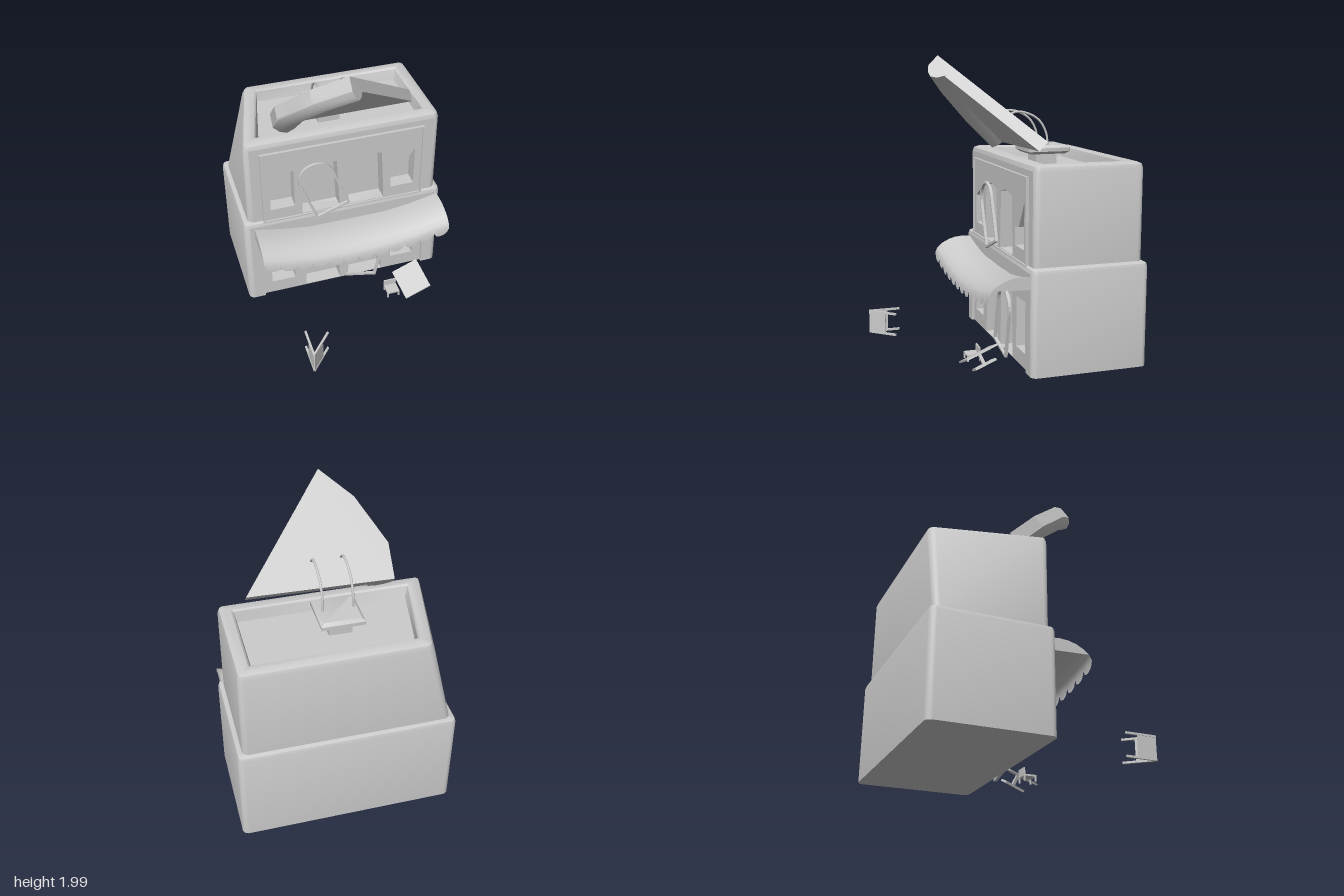
import * as THREE from 'three';
import { toCreasedNormals } from 'three/addons/utils/BufferGeometryUtils.js';

const grey = new THREE.MeshStandardMaterial({ color: 0xcccccc });
const greyThin = new THREE.MeshStandardMaterial({ color: 0xcccccc, side: THREE.DoubleSide });

function add(parent, name, geometry, material = grey) {
  const mesh = new THREE.Mesh(geometry, material);
  mesh.name = name;
  parent.add(mesh);
  return mesh;
}

function box(parent, name, [w, h, d], [x, y, z]) {
  const mesh = add(parent, name, new THREE.BoxGeometry(w, h, d));
  mesh.position.set(x, y, z);
  return mesh;
}

function fromTriangles(points, index) {
  const geometry = new THREE.BufferGeometry();
  geometry.setAttribute('position', new THREE.Float32BufferAttribute(points.flat(), 3));
  geometry.setIndex(index);
  return toCreasedNormals(geometry, 0.6);
}

const polygon = (pts) => new THREE.Shape(pts.map(([x, y]) => new THREE.Vector2(x, y)));

function extrude(pts, depth, holes = []) {
  const shape = polygon(pts);
  shape.holes = holes.map(polygon);
  return new THREE.ExtrudeGeometry(shape, { depth, bevelEnabled: false });
}

// Stacked rounded rectangles, each level [y, inset]; the front of the first storey may stay open
function stack({ x0, x1, z0, z1, r, levels, openFront = false, bend = (p) => p }) {
  const n = 5, count = 4 * (n + 1), pts = [], index = [];
  const cx = (x0 + x1) / 2, cz = (z0 + z1) / 2;
  for (const [y, inset] of levels) {
    const rad = Math.max(r - inset, 0.004);
    const hx = (x1 - x0) / 2 - inset - rad, hz = (z1 - z0) / 2 - inset - rad;
    [[1, -1], [-1, -1], [-1, 1], [1, 1]].forEach(([sx, sz], c) => {
      for (let k = 0; k <= n; k++) {
        const a = (c + k / n) * Math.PI / 2;
        pts.push(bend([cx + sx * hx + rad * Math.cos(a), y, cz + sz * hz - rad * Math.sin(a)]));
      }
    });
  }
  for (let i = 0; i < levels.length - 1; i++) {
    for (let j = 0; j < count; j++) {
      if (openFront && i === 0 && j === 3 * (n + 1) - 1) continue;
      const a = i * count + j, b = i * count + (j + 1) % count;
      index.push(a, b, b + count, a, b + count, a + count);
    }
  }
  const last = (levels.length - 1) * count;
  for (let j = 1; j < count - 1; j++) {
    index.push(0, j + 1, j, last, last + j, last + j + 1);
  }
  return fromTriangles(pts, index);
}

// One storey: rounded shell, front wall around a panel with openings, and the room behind
function storey(parent, name, o) {
  const g = new THREE.Group();
  g.name = name;
  parent.add(g);
  add(g, 'shell', stack({ ...o, openFront: true }));
  const [yb, yt] = [o.levels[0][0], o.levels[1][0]];
  const [px0, px1, py] = o.panel;
  const a = o.x0 + o.r, b = o.x1 - o.r;
  add(g, 'frontWall', extrude([[a, yb], [px0, yb], [px0, py], [px1, py], [px1, yb], [b, yb], [b, yt], [a, yt]], 0.04))
    .position.z = o.z1 - 0.04;
  add(g, 'frontPanel', extrude([[px0, yb], [px1, yb], [px1, py], [px0, py]], 0.1, o.openings)).position.z = o.panelZ - 0.1;
  box(g, 'roomWall', [px1 - px0, py - yb, 0.02], [(px0 + px1) / 2, (py + yb) / 2, o.panelZ - 0.11]);
  return g;
}

const doorway = (x0, x1, y0, y1) => [[x0, y0], [x1, y0], [x1 - 0.02, y1 - 0.02], [(x0 + x1) / 2 + 0.03, y1],
  [(x0 + x1) / 2 - 0.03, y1], [x0 + 0.02, y1 - 0.02]];
const rect = (x0, x1, y0, y1) => [[x0, y0], [x1, y0], [x1, y1], [x0, y1]];

// Loose arched door frame
function archFrame(parent, name, x, y, tilt) {
  const outline = (w, y0, y1) => {
    const pts = [[-w, y0], [w, y0]];
    for (let k = 0; k <= 14; k++) {
      const a = k / 14 * Math.PI;
      pts.push([w * Math.cos(a), y1 + w * Math.sin(a)]);
    }
    return pts;
  };
  const mesh = add(parent, name, extrude(outline(0.128, 0, 0.32), 0.02, [outline(0.112, 0.016, 0.32)]));
  mesh.position.set(x, y, -0.018);
  mesh.rotation.z = tilt;
}

// Sagging awning with a scalloped hem
function awning(parent) {
  const profile = [[-0.03, 0.67], [0.04, 0.675], [0.1, 0.67], [0.15, 0.655], [0.2, 0.63], [0.235, 0.6], [0.25, 0.57]];
  const scallops = 12, per = 8, cols = scallops * per, rows = profile.length + 1, pts = [], index = [];
  for (let i = 0; i <= cols; i++) {
    const t = 2 * i / cols - 1, sag = 0.085 * (1 - t * t);
    const f = 2 * (i % per) / per - 1;
    const x = 0.02 + 0.665 * t;
    for (const [z, y] of profile) pts.push([x, y - sag, z]);
    pts.push([x, 0.562 - sag - 0.045 * Math.sqrt(1 - f * f), 0.252]);
  }
  for (let i = 0; i < cols; i++) {
    for (let j = 0; j < rows - 1; j++) {
      const a = i * rows + j, b = a + rows;
      index.push(a, a + 1, b + 1, a, b + 1, b);
    }
  }
  add(parent, 'awning', fromTriangles(pts, index), greyThin);
  const side = new THREE.ShapeGeometry(polygon([[-0.03, 0.59], ...profile.slice(0, -1)]));
  side.rotateY(-Math.PI / 2);
  for (const x of [-0.645, 0.685]) add(parent, 'awningSide', side, greyThin).position.x = x;
}

// Wedge-shaped roof sign with a thick rounded rim, leaning forward on two bent struts
function roofSign(parent) {
  const sign = new THREE.Group();
  sign.name = 'roofSign';
  sign.position.set(0, 1.46, -0.2);
  sign.rotation.x = 0.8;
  parent.add(sign);
  const outer = [[-0.45, 0], [-0.455, 0.24], [-0.29, 0.57], [-0.09, 0.78]];
  const inner = [[-0.26, 0], [-0.24, 0.31], [-0.12, 0.56], [0, 0.67]];
  add(sign, 'wedge', extrude([...outer].reverse().concat([[0.51, 0.02]]).reverse(), 0.08));
  const section = [[0, 0], [0, 0.09], [0.2, 0.125], [0.45, 0.14], [0.75, 0.12], [1, 0.075]];
  const m = section.length, pts = [], index = [];
  outer.forEach(([x, y], i) => {
    for (const [s, h] of section) {
      pts.push([x + (inner[i][0] - x) * s, y + (inner[i][1] - y) * s, h]);
    }
  });
  for (let i = 0; i < outer.length - 1; i++) {
    for (let j = 0; j < m - 1; j++) {
      const a = i * m + j, b = a + m;
      index.push(a, a + 1, b + 1, a, b + 1, b);
    }
  }
  for (const s of [0, (outer.length - 1) * m]) {
    for (let j = 1; j < m - 1; j++) index.push(s, s + j, s + j + 1);
  }
  add(sign, 'wedgeRim', fromTriangles(pts, index), greyThin);

  for (const x of [-0.13, 0.065]) {
    const path = new THREE.CatmullRomCurve3([[1.4, -0.355], [1.49, -0.345], [1.58, -0.29], [1.63, -0.19], [1.63, -0.11], [1.58, -0.05]]
      .map(([y, z]) => new THREE.Vector3(x, y, z)));
    add(parent, 'signStrut', new THREE.TubeGeometry(path, 20, 0.008, 8));
  }
  add(parent, 'signPad', stack({ x0: -0.17, x1: 0.11, z0: -0.5, z1: -0.21, r: 0.004,
    levels: [[1.35, 0.025], [1.368, 0], [1.392, 0], [1.41, 0.02]] }));
  box(parent, 'signNeck', [0.15, 0.1, 0.15], [-0.03, 1.31, -0.355]);
}

// Folding board lying on its side, hinged at one end
function foldingBoard(parent) {
  const g = new THREE.Group();
  g.name = 'foldingBoard';
  g.position.set(-0.46, 0.135, 0.785);
  parent.add(g);
  for (const turn of [0, -0.72]) {
    const leaf = new THREE.Group();
    leaf.name = 'boardLeaf';
    leaf.rotation.y = turn;
    g.add(leaf);
    box(leaf, 'boardPanel', [0.008, 0.14, 0.13], [0, 0, -0.065]);
    for (const y of [-0.075, 0.075]) box(leaf, 'boardLeg', [0.014, 0.014, 0.215], [0, y, -0.107]);
  }
}

// Tipped table and a small stool
function furniture(parent) {
  const table = new THREE.Group();
  table.name = 'tippedTable';
  const x = new THREE.Vector3(0.92, 0.39, 0).normalize();
  const y = new THREE.Vector3(0.13, -0.32, 0.94).cross(x).normalize();
  table.quaternion.setFromRotationMatrix(new THREE.Matrix4().makeBasis(x, y, x.clone().cross(y)));
  table.position.set(0.425, 0.13, 0.24);
  parent.add(table);
  box(table, 'tableTop', [0.2, 0.012, 0.23], [0, 0, 0]);
  box(table, 'tablePost', [0.02, 0.08, 0.02], [0, -0.04, 0]);
  box(table, 'tableBase', [0.09, 0.015, 0.15], [0, -0.08, 0]);

  const stool = new THREE.Group();
  stool.name = 'stool';
  stool.position.set(0.275, 0.04, 0.24);
  parent.add(stool);
  box(stool, 'stoolSeat', [0.09, 0.012, 0.09], [0, 0.04, 0]);
  box(stool, 'stoolBack', [0.09, 0.05, 0.01], [0, 0.065, -0.04]);
  for (const sx of [-1, 1]) {
    for (const sz of [-1, 1]) box(stool, 'stoolLeg', [0.01, 0.04, 0.01], [sx * 0.04, 0.02, sz * 0.04]);
  }
}

export function createModel() {
  const model = new THREE.Group();
  model.name = 'shop';

  storey(model, 'groundFloor', {
    x0: -0.715, x1: 0.715, z0: -0.8, z1: -0.015, r: 0.04,
    levels: [[0.03, 0], [0.685, 0], [0.708, 0.008], [0.72, 0.035]],
    panel: [-0.6, 0.6, 0.6], panelZ: -0.035,
    openings: [rect(-0.54, -0.37, 0.13, 0.47), doorway(-0.29, -0.03, 0.035, 0.48),
      doorway(0.03, 0.29, 0.035, 0.48), rect(0.36, 0.53, 0.13, 0.47)],
  });

  // The back corner of the upper floor leans inwards
  const lean = ([x, y, z]) => [x < 0 ? x + 0.17 * (y - 0.7) / 0.65 * (-0.04 - z) / 0.73 : x, y, z];
  const upper = storey(model, 'upperFloor', {
    x0: -0.68, x1: 0.68, z0: -0.77, z1: -0.04, r: 0.04, bend: lean,
    levels: [[0.7, 0], [1.31, 0], [1.338, 0.01], [1.35, 0.04], [1.35, 0.08], [1.34, 0.092], [1.27, 0.11]],
    panel: [-0.565, 0.56, 1.26], panelZ: -0.032,
    openings: [[[-0.52, 0.8], [-0.35, 0.8], [-0.35, 1.1], [-0.52, 1]], doorway(-0.3, -0.03, 0.72, 1.13),
      doorway(0.03, 0.29, 0.72, 1.13), [[0.34, 0.8], [0.51, 0.8], [0.51, 1.1], [0.41, 0.93], [0.34, 0.92]]],
  });
  add(upper, 'panelTrim', extrude(rect(-0.575, 0.57, 0.705, 1.27), 0.025, [rect(-0.563, 0.558, 0.715, 1.258)])).position.z = -0.045;

  archFrame(model, 'upperDoorFrame', -0.085, 0.715, 0.37);
  archFrame(model, 'lowerDoorFrame', 0.11, 0.04, -0.23);
  awning(model);
  roofSign(model);
  foldingBoard(model);
  furniture(model);
  return model;
}
